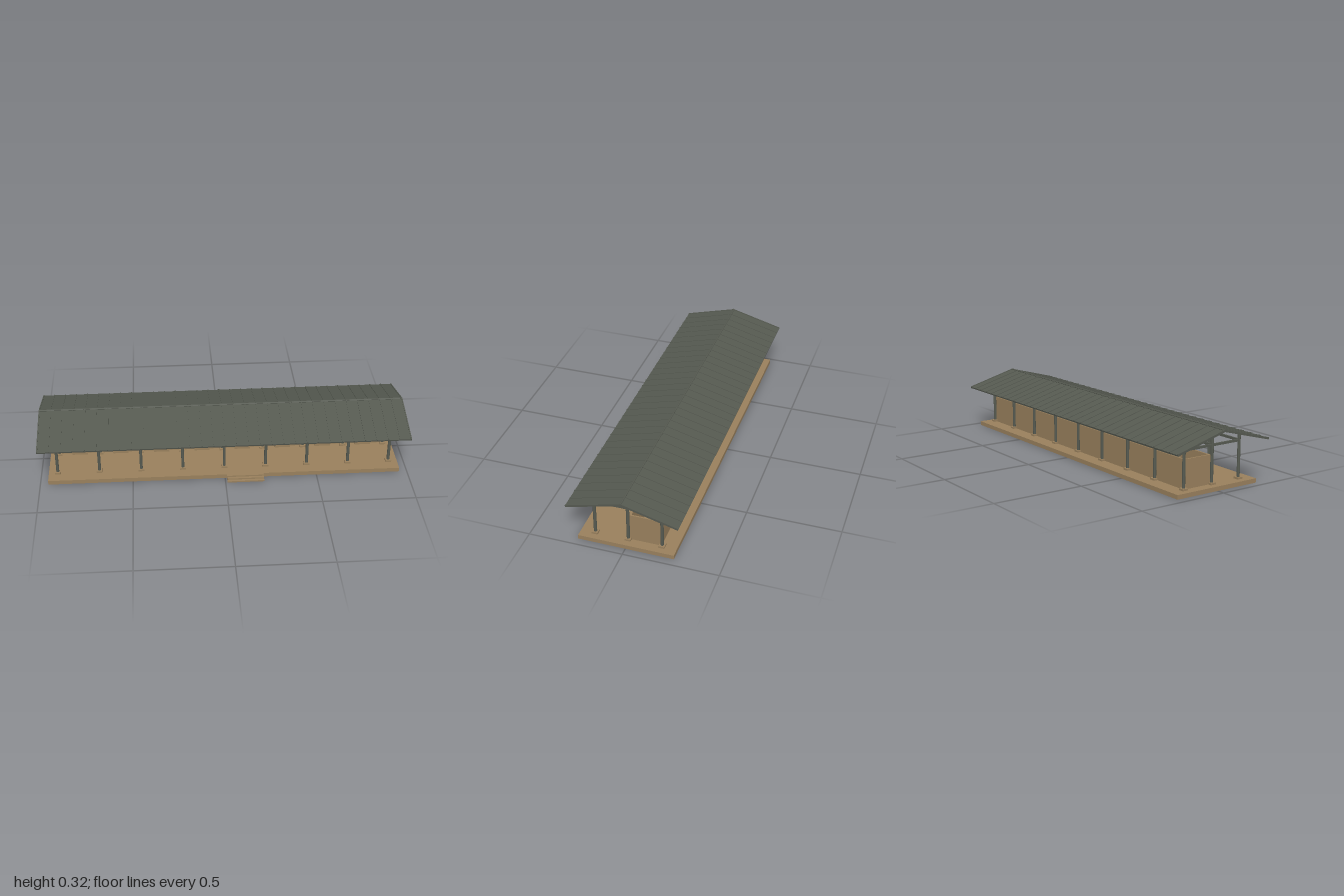
import * as THREE from 'three';

export function createModel() {
  const model = new THREE.Group();
  const earth = new THREE.MeshStandardMaterial({ name: 'sandy brown', color: 0x987f5c });
  const steel = new THREE.MeshStandardMaterial({ name: 'dark grey green', color: 0x555950, flatShading: true });

  const add = (parent, name, geometry, material, x = 0, y = 0, z = 0) => {
    const mesh = new THREE.Mesh(geometry, material);
    mesh.name = name;
    mesh.position.set(x, y, z);
    parent.add(mesh);
    return mesh;
  };
  // Box given by its lower and upper limits on each axis
  const box = (name, material, [x0, x1], [y0, y1], [z0, z1], parent = model) =>
    add(parent, name, new THREE.BoxGeometry(x1 - x0, y1 - y0, z1 - z0), material,
      (x0 + x1) / 2, (y0 + y1) / 2, (z0 + z1) / 2);

  // Floor slab and entrance steps
  const floorTop = 0.023;
  box('floorSlab', earth, [-0.957, 0.957], [0, floorTop], [-0.254, 0.252]);
  [[0.267, floorTop], [0.282, 0.0155], [0.297, 0.008]].forEach(([front, top], i) =>
    box('step' + (i + 1), earth, [0.01, 0.21], [0, top], [0.252 - i * 0.001, front]));

  // Post grid: nine frames of three posts with footings and a cross beam
  const bays = 8, span = 0.227, first = -0.908;
  const postRows = [[0.176, 0.258], [0, 0.31], [-0.178, 0.258]];
  for (let i = 0; i <= bays; i++) {
    const x = first + i * span;
    const frame = new THREE.Group();
    frame.name = 'frame' + (i + 1);
    model.add(frame);
    for (const [z, top] of postRows) {
      box('footing', earth, [x - 0.016, x + 0.016], [floorTop - 0.002, 0.033], [z - 0.016, z + 0.016], frame);
      const post = new THREE.CylinderGeometry(0.0085, 0.0085, top - 0.033, 8);
      post.rotateY(Math.PI / 8);
      add(frame, 'post', post, steel, x, (top + 0.033) / 2, z);
    }
    box('crossBeam', steel, [x - 0.005, x + 0.005], [0.217, 0.229], [-0.178, 0.176], frame);
  }
  for (const [z] of postRows) {
    box('longBeam', steel, [first, -first], [0.217, 0.229], [z - 0.005, z + 0.005]);
  }

  // Row of rooms behind the middle posts
  const wallY = [floorTop, 0.175], wallX = [first + 0.004, -first - 0.004];
  box('frontWall', earth, wallX, wallY, [-0.016, -0.007]);
  box('backWall', earth, wallX, wallY, [-0.173, -0.164]);
  for (let i = 0; i <= bays; i++) {
    const x = THREE.MathUtils.clamp(first + i * span, wallX[0] + 0.004, wallX[1] - 0.004);
    box('partition', earth, [x - 0.004, x + 0.004], wallY, [-0.165, -0.015]);
  }
  // Doors in the middle of each bay
  for (let i = 0; i < bays; i++) {
    const x = first + (i + 0.5) * span;
    box('door', earth, [x - 0.043, x + 0.043], [floorTop, 0.144], [-0.008, 0.007]);
  }

  // Two roof slopes with standing seams
  const ridgeY = 0.314, run = 0.292, drop = 0.079;
  const length = Math.hypot(run, drop), pitch = Math.atan2(drop, run);
  for (const side of [1, -1]) {
    const slope = new THREE.Group();
    slope.name = side > 0 ? 'frontRoof' : 'backRoof';
    slope.position.y = ridgeY;
    slope.rotation.x = side * pitch;
    model.add(slope);
    const z = side > 0 ? [0, length] : [-length, 0];
    box('roofSheet', steel, [-1, 1], [-0.008, 0], z, slope);
    const seams = 32;
    for (let i = 0; i <= seams; i++) {
      const x = THREE.MathUtils.clamp(-1 + (2 * i) / seams, -0.997, 0.997);
      box('seam', steel, [x - 0.003, x + 0.003], [-0.001, 0.003], z, slope);
    }
  }

  // Ridge cap
  const cap = new THREE.CylinderGeometry(0.005, 0.005, 2, 8);
  cap.rotateZ(Math.PI / 2);
  add(model, 'ridgeCap', cap, steel, 0, 0.315, 0);

  return model;
}
